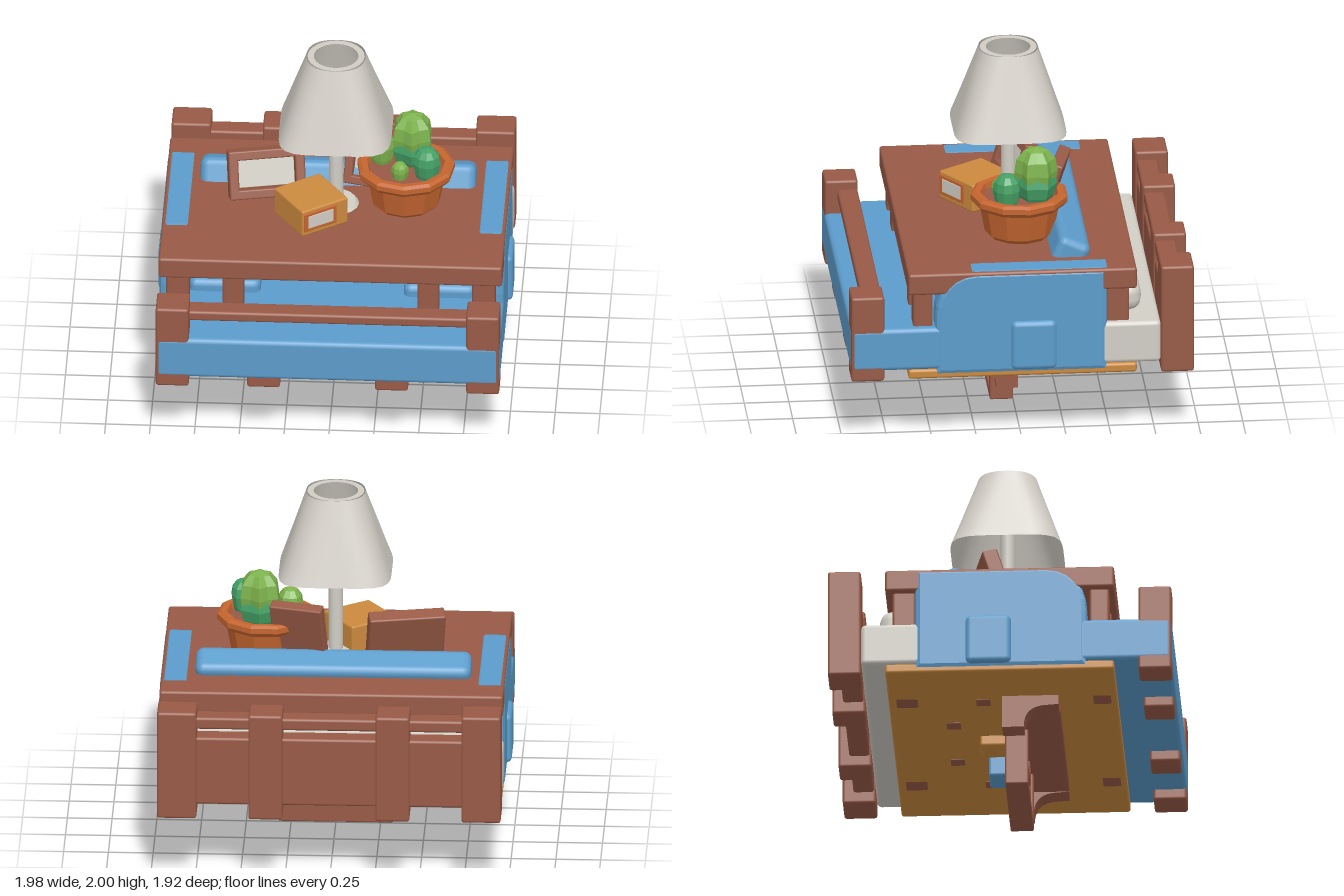
import * as THREE from 'three';
import { RoundedBoxGeometry } from 'three/addons/geometries/RoundedBoxGeometry.js';

const mat = (name, color, opts = {}) => {
  const m = new THREE.MeshStandardMaterial({ color, ...opts });
  m.name = name;
  return m;
};

export function createModel() {
  const model = new THREE.Group();
  const wood = mat('wood', 0x985a46);
  const blue = mat('blueFabric', 0x5c9ccb);
  const white = mat('offWhite', 0xd2cec6);
  const shadeMat = mat('lampshade', 0xd0ccc4, { side: THREE.DoubleSide });
  const tan = mat('tanWood', 0xcb8a3e);
  const clay = mat('terracotta', 0xc4652f, { flatShading: true });
  const lime = mat('limeGreen', 0x7db34d, { flatShading: true });
  const green = mat('deepGreen', 0x45a065, { flatShading: true });

  const add = (name, geo, m, parent = model) => {
    const mesh = new THREE.Mesh(geo, m);
    mesh.name = name;
    parent.add(mesh);
    return mesh;
  };
  // Bevelled box given by its limits on each axis
  const box = (name, m, x0, x1, y0, y1, z0, z1, r = 0.015, parent = model) => {
    const b = add(name, new RoundedBoxGeometry(x1 - x0, y1 - y0, z1 - z0, 2, r), m, parent);
    b.position.set((x0 + x1) / 2, (y0 + y1) / 2, (z0 + z1) / 2);
    return b;
  };
  const pair = (name, m, x0, x1, ...rest) => {
    box(name, m, x0, x1, ...rest);
    box(name, m, -x1, -x0, ...rest);
  };
  const group = (name, x, y, z) => {
    const g = new THREE.Group();
    g.name = name;
    g.position.set(x, y, z);
    model.add(g);
    return g;
  };

  // Bed: posts, rails, mattress, blanket
  pair('footPost', wood, 0.775, 0.96, 0.395, 0.9, 0.775, 0.96);
  pair('footInnerPost', wood, 0.265, 0.45, 0.395, 0.6, 0.78, 0.95);
  box('footRail', wood, -0.8, 0.8, 0.785, 0.845, 0.775, 0.89);
  pair('headPost', wood, 0.74, 0.96, 0.395, 1.03, -0.96, -0.775);
  pair('headInnerPost', wood, 0.26, 0.45, 0.395, 1.02, -0.96, -0.775);
  box('headRail', wood, -0.8, 0.8, 0.91, 0.98, -0.9, -0.785);
  box('headPanel', wood, -0.8, 0.8, 0.46, 0.86, -0.9, -0.785);
  box('mattress', white, -0.957, 0.957, 0.457, 0.702, -0.775, 0.8, 0.025);
  box('blanket', blue, -0.962, 0.962, 0.455, 0.705, -0.19, 0.962, 0.027);
  box('blanketFold', blue, -0.99, 0.99, 0.445, 0.735, -0.19, 0.065, 0.03);
  const pillow = box('pillow', white, -0.81, 0.81, 0.69, 0.86, -0.68, -0.25, 0.07);
  pillow.rotation.x = 0.05;

  // Table with a low board beneath
  box('tableTop', wood, -0.96, 0.96, 0.905, 1.03, -0.64, 0.64);
  box('lowBoard', tan, -0.955, 0.955, 0.4, 0.455, -0.64, 0.64);
  for (const [z0, z1] of [[0.5, 0.61], [-0.6, -0.47]]) {
    pair('tableLeg', wood, 0.79, 0.92, 0.41, 0.91, z0, z1);
    pair('innerLeg', wood, 0.485, 0.605, 0.396, 0.91, z0, z1);
  }
  pair('lowFoot', wood, 0.2, 0.28, 0.394, 0.46, -0.33, -0.25, 0.005);
  pair('lowFoot', wood, 0.5, 0.58, 0.394, 0.46, -0.15, -0.07, 0.005);

  // Sofa: arms with a rounded front corner, cushions, leaning back
  const arm = new THREE.Shape();
  arm.moveTo(-0.445, 0.45);
  arm.lineTo(0.46, 0.45);
  arm.lineTo(0.46, 0.76);
  arm.bezierCurveTo(0.46, 0.9, 0.39, 1.0, 0.26, 1.004);
  arm.lineTo(-0.445, 1.004);
  const armGeo = new THREE.ExtrudeGeometry(arm, {
    depth: 0.11, bevelThickness: 0.03, bevelSize: 0.029, bevelSegments: 2, curveSegments: 6,
  }).translate(0, 0, -0.055).rotateY(-Math.PI / 2);
  for (const s of [-1, 1]) add('sofaArm', armGeo, blue).position.x = s * 0.878;
  pair('seatCushion', blue, 0.4, 0.8, 0.47, 0.775, -0.35, 0.45, 0.04);
  box('seatBase', blue, -0.79, 0.79, 0.46, 0.66, -0.4, 0.45, 0.03);
  const back = box('sofaBack', blue, -0.77, 0.77, 0.61, 1.14, -0.31, -0.12, 0.045);
  back.rotation.x = -0.42;

  // Lamp: rounded-square shade narrowing to a round top
  const shade = new THREE.CylinderGeometry(1, 1, 0.465, 40, 6, true);
  const p = shade.attributes.position;
  for (let i = 0; i < p.count; i++) {
    const t = p.getY(i) / 0.465 + 0.5;
    const a = Math.atan2(p.getZ(i), p.getX(i));
    const n = 5 - 2.6 * t;
    const k = Math.pow(Math.abs(Math.cos(a)) ** n + Math.abs(Math.sin(a)) ** n, -1 / n);
    const r = k * (0.315 - 0.15 * t);
    p.setXYZ(i, r * Math.cos(a), p.getY(i), r * Math.sin(a));
  }
  shade.computeVertexNormals();
  add('lampShade', shade, shadeMat).position.y = 1.767;
  const rim = add('shadeRim', new THREE.RingGeometry(0.125, 0.16, 24), shadeMat);
  rim.rotation.x = -Math.PI / 2;
  rim.position.y = 1.998;
  add('lampPole', new THREE.CylinderGeometry(0.04, 0.04, 0.75, 12), white).position.y = 1.4;
  add('lampBase', new THREE.CylinderGeometry(0.11, 0.13, 0.025, 16), white).position.y = 1.04;
  add('bulb', new THREE.SphereGeometry(0.075, 12, 8), white).position.y = 1.8;

  // Plant pot and cacti
  const plant = group('pottedCactus', 0.388, 1.03, -0.03);
  const pot = [[0, 0], [0.17, 0], [0.195, 0.025], [0.225, 0.185], [0.255, 0.19], [0.275, 0.215],
    [0.275, 0.245], [0.255, 0.258], [0.22, 0.255], [0.205, 0.2]];
  add('pot', new THREE.LatheGeometry(pot.map(([x, y]) => new THREE.Vector2(x, y)), 11), clay, plant);
  add('soil', new THREE.CylinderGeometry(0.21, 0.21, 0.02, 11), wood, plant).position.y = 0.215;
  const cactus = (name, m, x, z, r, top, ribs, depth) => {
    const h = top - 1.23;
    const prof = [[0.62, 0], [0.85, 0.22], [1, 0.55], [0.9, 0.78], [0.55, 0.94], [0, 1]];
    const g = new THREE.LatheGeometry(prof.map(([a, b]) => new THREE.Vector2(a * r, b * h)), ribs * 2);
    const q = g.attributes.position;
    for (let i = 0; i < q.count; i++) {
      const odd = Math.floor(i / prof.length) % 2;
      if (odd) q.setXYZ(i, q.getX(i) * depth, q.getY(i), q.getZ(i) * depth);
    }
    g.computeVertexNormals();
    const c = add(name, g, m, plant);
    c.position.set(x - 0.388, 0.2, z + 0.03);
    return c;
  };
  cactus('tallCactus', lime, 0.42, -0.12, 0.122, 1.56, 6, 0.78);
  cactus('tallCactusSkirt', green, 0.42, -0.12, 0.121, 1.43, 6, 0.85);
  cactus('roundCactus', green, 0.51, 0.05, 0.08, 1.44, 5, 0.95);
  cactus('sideCactus', lime, 0.25, -0.1, 0.075, 1.455, 5, 0.92);
  cactus('smallCactus', lime, 0.36, 0.075, 0.05, 1.355, 4, 0.9);

  // Desk clock
  const clock = group('clock', -0.13, 1.03, 0.165);
  clock.rotation.y = 0.6;
  box('clockBody', tan, -0.15, 0.15, 0, 0.165, -0.155, 0.15, 0.012, clock);
  box('clockBezel', clay, -0.14, 0.07, 0.03, 0.145, 0.14, 0.156, 0.004, clock);
  box('clockFace', white, -0.115, 0.05, 0.048, 0.127, 0.15, 0.159, 0.003, clock);

  // Picture frame made of four bars around a pale panel
  const frame = (name, g, w, h, t, d) => {
    for (const s of [-1, 1]) {
      const cx = s * (w - t) / 2;
      box(name + 'Side', wood, cx - t / 2, cx + t / 2, 0, h, -d / 2, d / 2, 0.01, g);
      const y = s < 0 ? 0 : h - t;
      box(name + 'Bar', wood, -w / 2, w / 2, y, y + t, -d / 2, d / 2, 0.01, g);
    }
    box(name + 'Back', wood, -w / 2 + 0.01, w / 2 - 0.01, 0.01, h - 0.01, -d / 2, -d / 2 + 0.02, 0.005, g);
    box(name + 'Picture', white, -w / 2 + t, w / 2 - t, t, h - t, -d / 2 + 0.02, -d / 2 + 0.028, 0.003, g);
  };
  const wide = group('widePhoto', -0.385, 1.04, -0.03);
  wide.rotation.set(-0.32, 0.2, 0, 'YXZ');
  frame('wideFrame', wide, 0.43, 0.28, 0.055, 0.09);
  const tall = group('tallPhoto', 0.18, 1.04, -0.17);
  tall.rotation.set(-0.3, -0.25, 0, 'YXZ');
  frame('tallFrame', tall, 0.3, 0.39, 0.05, 0.07);

  // Wall shelf on curved brackets
  box('shelf', wood, -0.52, 0.52, 0.33, 0.39, 0, 0.32);
  const bracket = new THREE.Shape();
  bracket.moveTo(0, 0.2);
  bracket.lineTo(0.12, 0.2);
  bracket.quadraticCurveTo(0.12, 0.325, 0.245, 0.33);
  bracket.lineTo(0.315, 0.335);
  bracket.lineTo(0.315, 0.39);
  bracket.lineTo(0, 0.39);
  const bracketGeo = new THREE.ExtrudeGeometry(bracket, { depth: 0.12, bevelEnabled: false })
    .translate(0, 0, -0.06).rotateY(-Math.PI / 2);
  for (const s of [-1, 1]) add('bracket', bracketGeo, wood).position.x = s * 0.58;

  // Nested hanging frames below the shelf
  frame('outerFrame', group('outerHanging', 0, 0, 0.065), 0.64, 0.39, 0.05, 0.13);
  frame('middleFrame', group('middleHanging', 0, 0.1, 0.065), 0.44, 0.28, 0.04, 0.11);
  frame('innerFrame', group('innerHanging', 0, 0.19, 0.065), 0.27, 0.2, 0.04, 0.11);
  box('tanPlaque', tan, -0.09, 0.09, 0.25, 0.36, 0.02, 0.09);
  box('plaqueCenter', white, -0.03, 0.03, 0.275, 0.33, 0.085, 0.094, 0.003);

  // Small blocks behind the frames
  box('blueBook', blue, 0.07, 0.25, 0.235, 0.41, -0.11, 0);
  box('tanBook', tan, -0.1, 0.07, 0.34, 0.41, -0.15, 0);
  return model;
}
